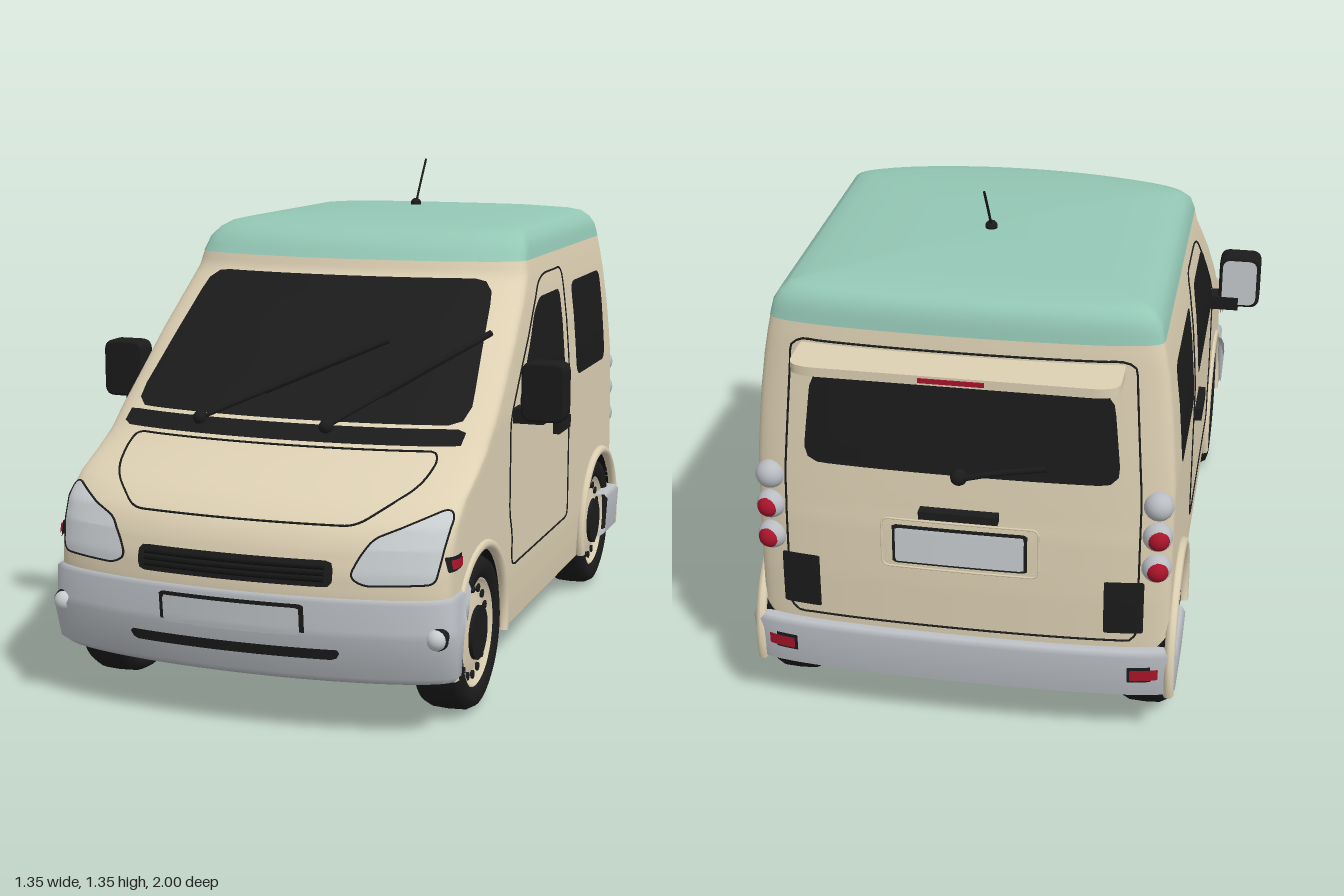
import * as THREE from 'three';

const mat = (name, color) => Object.assign(new THREE.MeshStandardMaterial({ color, side: THREE.DoubleSide }), { name });
const V = (x, y, z) => new THREE.Vector3(x, y, z);

// Body plan by height: y, half width, front z, rear z
const PLAN = [
  [.14, .522, .93, -.925], [.2, .527, .95, -.928], [.28, .53, .965, -.93], [.36, .53, .972, -.93],
  [.42, .53, .968, -.93], [.48, .53, .952, -.928], [.53, .53, .925, -.926], [.58, .53, .86, -.924],
  [.62, .53, .77, -.92], [.66, .53, .69, -.917], [.72, .53, .61, -.912], [.8, .525, .505, -.905],
  [.9, .517, .38, -.895], [1, .505, .25, -.885], [1.06, .495, .18, -.88], [1.1, .487, .165, -.875],
  [1.14, .478, .135, -.868], [1.165, .462, .1, -.857], [1.182, .44, .06, -.84], [1.19, .405, .01, -.815],
  [1.2, .3, -.1, -.74], [1.208, .15, -.25, -.6], [1.211, .004, -.44, -.45]];
const WHEELS = [.6, -.69], AXLE = .2, ARCH = .222, NF = 40, NS = 72;

function plan(y) {
  let i = 0;
  while (i < PLAN.length - 2 && y > PLAN[i + 1][0]) i++;
  const a = PLAN[i], b = PLAN[i + 1], t = THREE.MathUtils.clamp((y - a[0]) / (b[0] - a[0]), 0, 1);
  return a.map((v, k) => v + (b[k] - v) * t);
}
const inset = (s, bow, corner) => bow * s * s + corner * (1 - Math.pow(Math.max(0, 1 - Math.pow(s, 5)), .2));
function endZ(x, y, back, off = 0) {
  const [, w, f, r] = plan(y), s = Math.min(1, Math.abs(x) / (w + off)), k = Math.min(1, (f - r) / .9);
  return back ? r - off + k * inset(s, .02, .06) : f + off - k * inset(s, .07, .09);
}
function sideX(z, y) {
  let lo = 0, hi = plan(y)[1];
  if (z <= endZ(hi, y)) return hi;
  for (let i = 0; i < 24; i++) { const m = (lo + hi) / 2; endZ(m, y) > z ? lo = m : hi = m; }
  return lo;
}
const front = off => (x, y) => V(x, y, endZ(x, y) + off);
const rear = off => (x, y) => V(x, y, endZ(x, y, true) - off);
const side = (sg, off) => (z, y) => V(sg * (sideX(z, y) + off), y, z);

function outline(y, off) {
  const w = plan(y)[1] + off, pts = [];
  const end = (back, dir) => {
    for (let i = 0; i <= NF; i++) {
      const t = i / NF * 2 - 1, x = dir * w * Math.sign(t) * (1 - Math.pow(1 - Math.abs(t), 2.5));
      pts.push([x, endZ(x, y, back, off)]);
    }
  };
  const zf = endZ(w, y, false, off), zr = endZ(w, y, true, off);
  end(false, 1);
  for (let i = 1; i < NS; i++) pts.push([w, zf + (zr - zf) * i / NS]);
  end(true, -1);
  for (let i = 1; i < NS; i++) pts.push([-w, zr + (zf - zr) * i / NS]);
  return pts;
}
// Surface through horizontal outlines; rows are [y, offset]
function loft(rows, i0, i1, arches) {
  const pos = [], idx = [], n = i1 - i0 + 1;
  rows.forEach(([y, off], j) => {
    const o = outline(y, off);
    for (let i = i0; i <= i1; i++) {
      const [x, z] = o[(i + o.length) % o.length];
      let h = y;
      if (arches && Math.abs(x) > .45) for (const c of WHEELS)
        if (Math.abs(z - c) < ARCH) h = Math.max(h, AXLE + Math.sqrt(ARCH * ARCH - (z - c) ** 2));
      pos.push(x, h, z);
      if (j && i > i0) { const d = j * n + i - i0, a = d - n; idx.push(a - 1, a, d, a - 1, d, d - 1); }
    }
  });
  return build(pos, idx);
}
function build(pos, idx) {
  const g = new THREE.BufferGeometry();
  g.setAttribute('position', new THREE.Float32BufferAttribute(pos, 3));
  g.setIndex(idx);
  g.computeVertexNormals();
  return g;
}
function rounded(pts, r) {
  const s = new THREE.Shape(), v = pts.map(p => new THREE.Vector2(...p)), n = v.length;
  v.forEach((p, i) => {
    const cut = q => p.clone().lerp(q, Math.min(.5, r / p.distanceTo(q)));
    const a = cut(v[(i + n - 1) % n]), b = cut(v[(i + 1) % n]);
    i ? s.lineTo(a.x, a.y) : s.moveTo(a.x, a.y);
    s.quadraticCurveTo(p.x, p.y, b.x, b.y);
  });
  s.closePath();
  return s;
}
const rect = (x0, x1, y0, y1) => [[x0, y0], [x1, y0], [x1, y1], [x0, y1]];
// Thin panel laid onto the body: rings shrinking to the middle
function patch(pts, r, project) {
  const o = rounded(pts, r).getSpacedPoints(72).slice(0, -1), n = o.length, K = 8, pos = [], idx = [];
  const box = new THREE.Box2().setFromPoints(o), c = box.getCenter(new THREE.Vector2());
  for (let k = 0; k <= K; k++) o.forEach((p, i) => {
    const q = c.clone().lerp(p, k / K), a = k * n + i, b = k * n + (i + 1) % n;
    pos.push(...project(q.x, q.y).toArray());
    if (k) idx.push(a - n, a, b, a - n, b, b - n);
  });
  return build(pos, idx);
}
const tube = (pts, r, closed = false) =>
  new THREE.TubeGeometry(new THREE.CatmullRomCurve3(pts, closed), pts.length * 2, r, 6, closed);
const seam = (pts, r, project) =>
  tube(rounded(pts, r).getSpacedPoints(90).slice(0, -1).map(p => project(p.x, p.y)), .0028, true);

export function createModel() {
  const cream = mat('cream paint', 0xddd0b3), teal = mat('teal paint', 0x94c7b5), black = mat('black trim', 0x1b1b1c),
    grey = mat('grey plastic', 0xb9bdc2), pale = mat('pale glass', 0xc7cccf), red = mat('red lens', 0xa8142a),
    under = mat('underbody', 0x111112), steel = mat('steel', 0x85888a);
  const root = new THREE.Group();
  const add = (name, g, m, x = 0, y = 0, z = 0, parent = root) => {
    const o = new THREE.Mesh(g, m);
    o.name = name; o.position.set(x, y, z); parent.add(o);
    return o;
  };
  const box = (w, h, d) => new THREE.BoxGeometry(w, h, d);
  const rod = (r, len, n = 32) => new THREE.CylinderGeometry(r, r, len, n).rotateZ(Math.PI / 2);

  // Shell and roof
  const N = 2 * NF + 2 * NS;
  add('bodyShell', loft(Array.from({ length: 49 }, (_, i) => [.14 + i * .02, 0]), 0, N, true), cream);
  add('roof', loft([1.1, 1.12, 1.14, 1.153, 1.165, 1.174, 1.182, 1.19, 1.195, 1.2, 1.204, 1.208, 1.211].map(y => [y, .001]), 0, N), teal);

  // Bumpers
  add('frontBumper', loft([[.14, -.04], [.141, .012], [.16, .025], [.265, .025], [.28, .015], [.35, .012], [.36, 0]], -2, NF + 2, true), grey);
  add('rearBumper', loft([[.14, -.03], [.141, .015], [.15, .028], [.265, .028], [.278, .018], [.28, -.01]], NF + NS - 6, 2 * NF + NS + 7), grey);

  // Front face
  add('windscreen', patch([[-.475, .725], [.475, .725], [.42, 1.057], [-.42, 1.057]], .05, front(.008)), black);
  add('cowl', patch(rect(-.475, .475, .682, .718), .008, front(.014)), black);
  add('bonnetSeam', seam([[-.43, .67], [-.42, .61], [-.3, .53], [.3, .53], [.42, .61], [.43, .67]], .03, front(.002)), black);
  add('grille', patch(rect(-.26, .26, .388, .452), .02, front(.008)), black);
  for (const y of [.405, .42, .435])
    add('grilleSlat', tube([-.24, -.12, 0, .12, .24].map(x => front(.01)(x, y)), .005), under);
  add('plateFrame', patch(rect(-.193, .193, .255, .345), .005, front(.021)), black);
  add('frontPlate', patch(rect(-.182, .182, .264, .336), .003, front(.025)), pale);
  add('airSlot', patch([[-.27, .208], [.27, .208], [.285, .235], [-.285, .235]], .006, front(.031)), black);
  for (const [x0, x1, y1] of [[-.24, .2, .91], [.12, .46, .93]]) {
    const at = (t, off) => front(off)(x0 + (x1 - x0) * t, .715 + (y1 - .715) * t);
    add('wiperArm', tube([0, .25, .5, .75].map(t => at(t, .03)), .006), black);
    add('wiperBlade', tube([.35, .6, .8, 1].map(t => at(t, .025)), .009), black);
    add('wiperPivot', new THREE.SphereGeometry(.02, 12, 8), black, ...at(0, .02).toArray());
  }

  // Rear face
  add('rearWindow', patch([[-.4, .74], [.4, .74], [.375, .985], [-.375, .985]], .05, rear(.006)), black);
  add('tailgateSeam', seam([[-.45, .3], [.45, .3], [.45, .7], [.425, 1.06], [-.425, 1.06], [-.45, .7]], .03, rear(.001)), black);
  add('plateRecess', seam(rect(-.2, .2, .47, .605), .02, rear(.001)), cream);
  add('rearPlateFrame', patch(rect(-.172, .172, .483, .592), .004, rear(.005)), black);
  add('rearPlate', patch(rect(-.164, .164, .49, .585), .003, rear(.009)), pale);
  add('tailgateHandle', box(.2, .022, .03), black, 0, .635, -.93);
  add('rearWiper', tube([[0, .74], [-.1, .765], [-.22, .785]].map(p => rear(.02)(...p)), .008), black);
  add('rearWiperPivot', new THREE.SphereGeometry(.022, 12, 8), black, 0, .74, -.92);
  const wing = rounded([[-.4, .85], [.4, .85], [.4, .98], [.36, .998], [-.36, .998], [-.4, .98]], .03);
  add('spoiler', new THREE.ExtrudeGeometry(wing, { depth: .024, bevelEnabled: false, curveSegments: 6 }).rotateX(-Math.PI / 2), cream, 0, 1.028, 0);
  add('brakeLight', box(.16, .012, .008), red, 0, 1.04, -.997);

  for (const s of [1, -1]) {
    // Lamps
    const lamp = [[.3, .415], [.335, .395], [.5, .4], [.51, .46], [.522, .55], [.505, .568], [.35, .505], [.32, .46]].map(p => [s * p[0], p[1]]);
    add('headlight', patch(lamp, .02, front(.008)), pale);
    add('headlightSeam', seam(lamp, .02, front(.007)), black);
    const fog = front(.026)(s * .505, .265);
    add('fogLampRing', new THREE.SphereGeometry(.031, 20, 12), black, fog.x, fog.y, fog.z - .012);
    add('fogLamp', new THREE.SphereGeometry(.027, 20, 12), pale, fog.x, fog.y, fog.z - .002);
    add('sideMarkerFrame', patch(rect(.798, .868, .425, .462), .004, side(s, .007)), black);
    add('sideMarker', patch(rect(.806, .86, .432, .455), .003, side(s, .012)), red);
    [.685, .602, .515].forEach((y, i) => {
      const z = endZ(.495, y, true);
      add('tailLampRing', new THREE.SphereGeometry(.038, 20, 14), grey, s * .492, y, z);
      if (i) add('tailLamp', new THREE.SphereGeometry(.03, 20, 14), red, s * .495, y, z - .013);
    });
    add('cornerVent', patch(rect(s * .365, s * .465, .325, .475), .004, rear(.006)), black);
    add('rearReflectorFrame', patch(rect(s * .43, s * .515, .192, .238), .004, rear(.033)), black);
    add('rearReflector', patch(rect(s * .437, s * .508, .199, .231), .003, rear(.037)), red);

    // Side windows, door and handle
    add('doorWindow', patch([[.268, .72], [.262, .752], [.145, .87], [.06, .96], [-.01, .995], [-.237, .995], [-.237, .72]], .03, side(s, .005)), black);
    add('rearSideWindow', patch(rect(-.745, -.375, .72, 1), .04, side(s, .005)), black);
    add('doorSeam', seam([[.32, .305], [.318, .4], [.345, .45], [.345, .71], [.25, .8], [-.03, 1.035], [-.1, 1.052], [-.3, 1.052], [-.3, .305]], .03, side(s, .0005)), black);
    add('doorHandle', box(.025, .036, .135), black, s * .537, .605, -.18);

    // Mirror
    const mirror = new THREE.Group();
    mirror.name = 'mirror'; root.add(mirror);
    const head = rounded([[-.06, -.08], [.06, -.08], [.06, .08], [-.06, .08]], .03);
    add('mirrorShell', new THREE.ExtrudeGeometry(head, { depth: .05, bevelSize: .008, bevelThickness: .01, bevelOffset: -.008, bevelSegments: 3 }), black, s * .613, .783, .275, mirror);
    add('mirrorGlass', patch(rect(-.05, .05, -.07, .07), .025, (x, y) => V(x, y, 0)), pale, s * .613, .783, .262, mirror);
    add('mirrorArm', box(.1, .04, .06), black, s * .562, .715, .29, mirror);

    // Wheels, arches and wells
    for (const z of WHEELS) {
      const wheel = new THREE.Group();
      wheel.name = 'wheel'; wheel.position.set(s * .467, AXLE, z); wheel.rotation.y = s > 0 ? 0 : Math.PI; root.add(wheel);
      const tyre = [[.135, -.05], [.17, -.065], [.188, -.06], [.198, -.04], [.2, 0], [.198, .04], [.188, .058], [.17, .064], [.145, .058], [.137, .045]].map(p => new THREE.Vector2(...p));
      add('tyre', new THREE.LatheGeometry(tyre, 48).rotateZ(-Math.PI / 2), black, 0, 0, 0, wheel);
      const rim = [[.142, .05], [.135, .054], [.128, .04], [.1, .036], [.075, .05], [0, .05]].map(p => new THREE.Vector2(...p));
      add('rim', new THREE.LatheGeometry(rim, 40).rotateZ(-Math.PI / 2), cream, 0, 0, 0, wheel);
      add('rimBack', rod(.138, .01), steel, -.045, 0, 0, wheel);
      add('hubCap', rod(.07, .02), black, .05, 0, 0, wheel);
      for (let i = 0; i < 16; i++) {
        const a = i * Math.PI / 8;
        add('rimHole', rod(.011, .008, 10), black, .0395, .114 * Math.sin(a), .114 * Math.cos(a), wheel);
      }
      add('wheelWell', new THREE.CylinderGeometry(ARCH, ARCH, .17, 32, 1, true, 0, Math.PI).rotateZ(Math.PI / 2), under, s * .44, AXLE, z);
      add('wellWall', new THREE.CircleGeometry(ARCH, 32, 0, Math.PI).rotateY(Math.PI / 2), under, s * .36, AXLE, z);
      const lip = new THREE.TorusGeometry(ARCH + .006, .014, 8, 40, Math.PI + .5).rotateZ(-.25).rotateY(Math.PI / 2);
      add('archLip', lip, cream, s * (z > 0 ? .526 : .535), AXLE, z);
    }
  }

  // Underside
  add('floor', box(.74, .04, 1.78), under, 0, .168, 0);
  add('midFloor', box(1.035, .03, .82), under, 0, .16, -.045);
  add('rearFloor', box(.96, .02, .03), under, 0, .16, -.9);
  for (const z of WHEELS) add('axle', rod(.025, .88, 16), under, 0, AXLE - .045, z);
  for (const x of [-.3, .3]) add('chassisRail', box(.05, .03, .5), under, x, .145, -.6);
  add('muffler', new THREE.CylinderGeometry(.042, .042, .2, 24).rotateX(Math.PI / 2), steel, -.24, .163, -.5);
  add('exhaustPipe', tube([V(-.24, .15, -.6), V(-.24, .14, -.72), V(-.28, .15, -.86)], .014), steel);

  // Aerial
  add('aerialBase', new THREE.SphereGeometry(.016, 14, 10), black, 0, 1.215, -.45);
  add('aerial', tube([V(0, 1.215, -.45), V(0, 1.28, -.497), V(0, 1.345, -.547)], .0035), black);
  return root;
}
